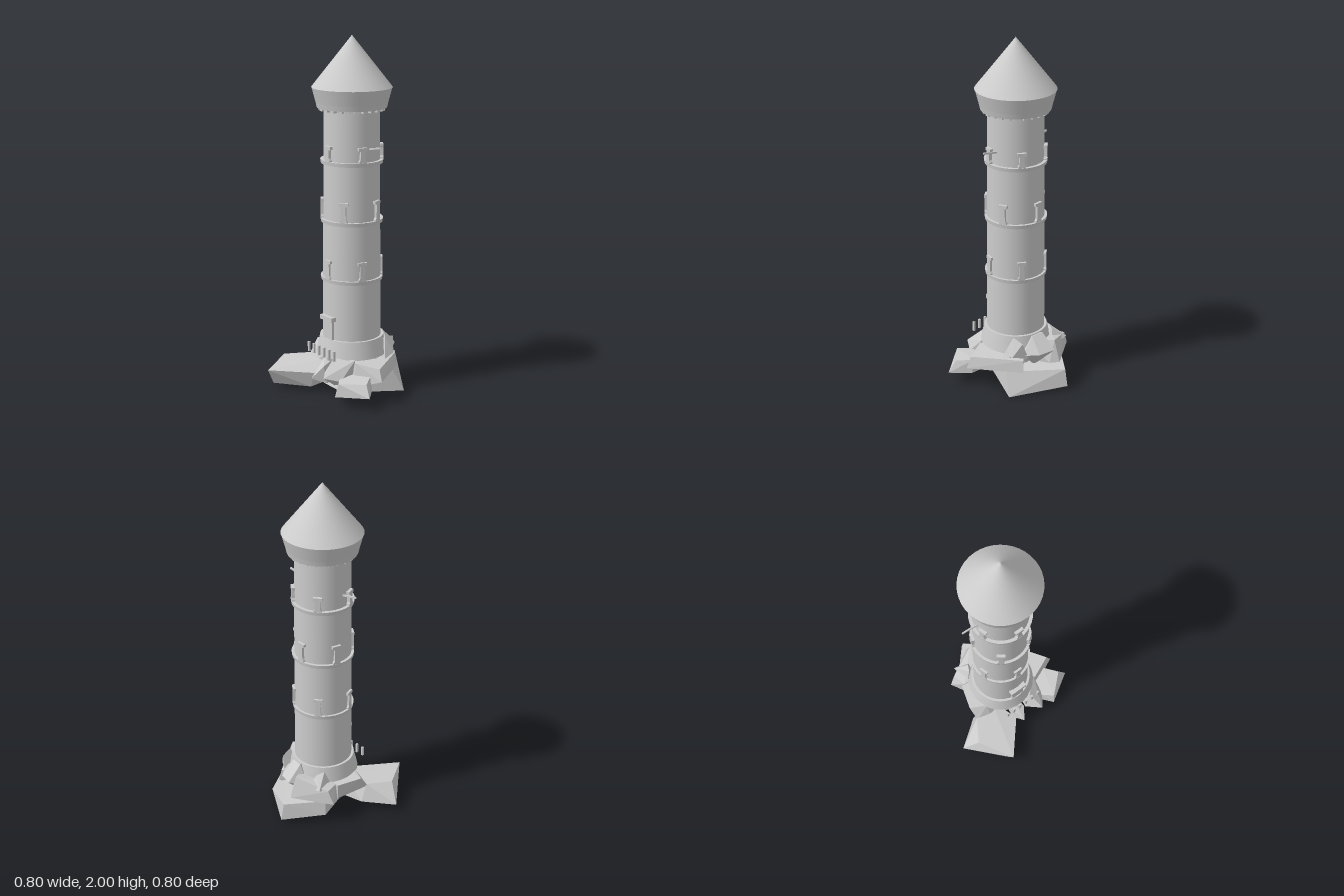
import * as THREE from 'three';
import { ConvexGeometry } from 'three/addons/geometries/ConvexGeometry.js';

const stone = new THREE.MeshStandardMaterial({ color: 0xcccccc });
stone.name = 'stone';

function add(parent, name, geometry, x = 0, y = 0, z = 0) {
  const mesh = new THREE.Mesh(geometry, stone);
  mesh.name = name;
  mesh.position.set(x, y, z);
  parent.add(mesh);
  return mesh;
}

// Closed round section between two heights
function section(parent, name, rTop, rBottom, y0, y1) {
  return add(parent, name, new THREE.CylinderGeometry(rTop, rBottom, y1 - y0, 40), 0, (y0 + y1) / 2, 0);
}

// Window pillar: flared foot, narrow shaft, wide cap
function pillarGeometry(h) {
  const half = [[0.021, 0], [0.021, 0.008], [0.014, 0.02], [0.012, h - 0.02], [0.025, h - 0.017], [0.025, h]];
  const points = [...half, ...half.map(([x, y]) => [-x, y]).reverse()];
  const shape = new THREE.Shape(points.map(([x, y]) => new THREE.Vector2(x, y)));
  return new THREE.ExtrudeGeometry(shape, { depth: 0.022, bevelEnabled: false });
}

function rock(parent, name, corners) {
  add(parent, name, new ConvexGeometry(corners.map((c) => new THREE.Vector3(...c))));
}

export function createModel() {
  const model = new THREE.Group();
  model.name = 'rockTower';
  const tower = new THREE.Group();
  tower.name = 'tower';
  tower.position.set(0.02, 0, -0.03);
  model.add(tower);

  // Shaft, flared foot, parapet and roof
  section(tower, 'foot', 0.178, 0.2, 0.22, 0.32);
  section(tower, 'shaft', 0.153, 0.164, 0.3, 1.64);
  section(tower, 'parapetRim', 0.198, 0.192, 1.61, 1.637);
  section(tower, 'parapet', 0.22, 0.198, 1.637, 1.72);
  add(tower, 'roof', new THREE.ConeGeometry(0.222, 0.28, 40), 0, 1.86, 0);

  // Small corbels under the parapet
  for (let i = 0; i < 24; i++) {
    const a = (i / 24) * Math.PI * 2;
    const corbel = add(tower, 'corbel', new THREE.BoxGeometry(0.026, 0.016, 0.03),
      Math.sin(a) * 0.166, 1.604, Math.cos(a) * 0.166);
    corbel.rotation.y = a;
  }

  // Ledges, each with five window pillars, the middle storey turned half a step
  [[0.645, 0, 0.107], [0.975, 0.5, 0.112], [1.305, 0, 0.085]].forEach(([y, shift, h]) => {
    section(tower, 'ledge', 0.174, 0.171, y, y + 0.021);
    const geometry = pillarGeometry(h);
    for (let i = 0; i < 5; i++) {
      const a = ((i + shift) / 5) * Math.PI * 2;
      const pillar = add(tower, 'windowPillar', geometry, Math.sin(a) * 0.15, y + 0.02, Math.cos(a) * 0.15);
      pillar.rotation.y = a;
    }
  });

  // Side poles, rising slightly outwards
  for (const s of [-1, 1]) {
    const pole = add(tower, 'sidePole', new THREE.BoxGeometry(0.1, 0.009, 0.009), s * 0.2, 1.407, 0);
    pole.rotation.z = s * 0.2;
  }

  // Door with lintel
  add(tower, 'door', new THREE.BoxGeometry(0.08, 0.14, 0.06), 0, 0.36, 0.142);
  add(tower, 'lintel', new THREE.BoxGeometry(0.106, 0.024, 0.07), 0, 0.44, 0.15);

  // Fence posts in front of the door
  for (let i = 0; i < 6; i++) {
    add(model, 'fencePost', new THREE.BoxGeometry(0.012, 0.056, 0.012), -0.088 + i * 0.0452, 0.257, 0.19);
  }

  // Rocks around and below the foot
  const rocks = new THREE.Group();
  rocks.name = 'rocks';
  model.add(rocks);
  rock(rocks, 'frontRightSlab', [
    [-0.318, 0.15, 0.2], [-0.2, 0.127, 0.397], [-0.03, 0.115, 0.2], [-0.235, 0.155, 0.07], [-0.1, 0.15, 0.04],
    [-0.4, 0.05, 0.15], [-0.235, 0.05, 0.03], [-0.215, 0.037, 0.35], [-0.06, 0.025, 0.2], [-0.08, 0.03, 0.02]]);
  rock(rocks, 'frontLeftBlock', [
    [0.35, 0.14, 0.13], [0.285, 0.15, 0.05], [0.17, 0.13, 0.175], [0.235, 0.135, 0.235], [0.1, 0.14, 0.06],
    [0.395, 0.075, 0.145], [0.3, 0.07, 0.05], [0.225, 0.06, 0.25], [0.16, 0.055, 0.17], [0.1, 0.06, 0.05]]);
  rock(rocks, 'leftBlock', [
    [0.335, 0.2, 0.025], [0.17, 0.2, -0.225], [0.2, 0.21, 0.085], [0.02, 0.21, -0.1], [0.03, 0.2, 0.06],
    [0.362, 0.135, 0.03], [0.18, 0.13, -0.235], [0.205, 0.075, 0.098], [0.03, 0.08, -0.1], [0.1, 0.07, 0.06]]);
  rock(rocks, 'backSlab', [
    [-0.012, 0.13, -0.38], [0.235, 0.13, -0.155], [-0.17, 0.14, -0.2], [0.05, 0.13, 0.06], [-0.1, 0.13, 0.03],
    [-0.01, 0.03, -0.4], [0.27, 0.003, -0.21], [-0.18, 0.055, -0.21], [0.1, 0.013, 0.1], [-0.06, 0.028, 0.11]]);
  rock(rocks, 'backRightBlock', [
    [-0.2, 0.23, -0.21], [-0.18, 0.23, -0.13], [-0.02, 0.28, -0.29], [0.05, 0.25, -0.13],
    [-0.235, 0.15, -0.2], [-0.185, 0.13, -0.12], [-0.02, 0.155, -0.33], [0.02, 0.15, -0.29], [0.05, 0.12, -0.1]]);
  rock(rocks, 'rightBlock', [
    [-0.245, 0.23, 0.012], [-0.2, 0.23, -0.13], [-0.15, 0.225, 0.06], [-0.05, 0.23, 0.05], [-0.05, 0.23, -0.12],
    [-0.235, 0.14, 0.08], [-0.155, 0.12, 0.107], [-0.19, 0.13, -0.12], [-0.04, 0.1, 0.05], [-0.04, 0.1, -0.12]]);
  rock(rocks, 'frontRock', [
    [0.1, 0.23, 0.16], [0.19, 0.225, 0.08], [0.05, 0.22, 0.1], [0.13, 0.14, 0.255], [0.05, 0.14, 0.185],
    [0.185, 0.12, 0.18], [0.08, 0.06, 0.14], [0.17, 0.08, 0.08]]);
  rock(rocks, 'doorstepRock', [
    [0, 0.2, 0.15], [0.04, 0.17, 0.185], [-0.05, 0.2, 0.1], [0, 0.1, 0.243], [-0.04, 0.08, 0.18],
    [0.05, 0.07, 0.17], [0, 0.05, 0.12], [0.03, 0.2, 0.1]]);
  rock(rocks, 'backPeak', [
    [0.01, 0.32, -0.225], [0.08, 0.315, -0.21], [0.05, 0.3, -0.15], [0.01, 0.24, -0.318], [0.1, 0.23, -0.285],
    [0.155, 0.22, -0.21], [-0.05, 0.2, -0.22], [0.05, 0.12, -0.2]]);
  rock(rocks, 'backLeftPeak', [
    [0.165, 0.3, -0.215], [0.17, 0.32, -0.15], [0.21, 0.22, -0.18], [0.13, 0.2, -0.23], [0.22, 0.2, -0.11], [0.1, 0.18, -0.13]]);
  rock(rocks, 'backRightPeak', [
    [-0.12, 0.3, -0.16], [-0.1, 0.29, -0.2], [-0.17, 0.235, -0.25], [-0.16, 0.2, -0.13], [-0.06, 0.2, -0.24], [-0.08, 0.18, -0.13]]);

  // Core joining the rocks under the foot
  const core = new THREE.CylinderGeometry(0.185, 0.13, 0.17, 7).toNonIndexed();
  core.computeVertexNormals();
  add(rocks, 'rockCore', core, 0.02, 0.145, -0.03);
  return model;
}
